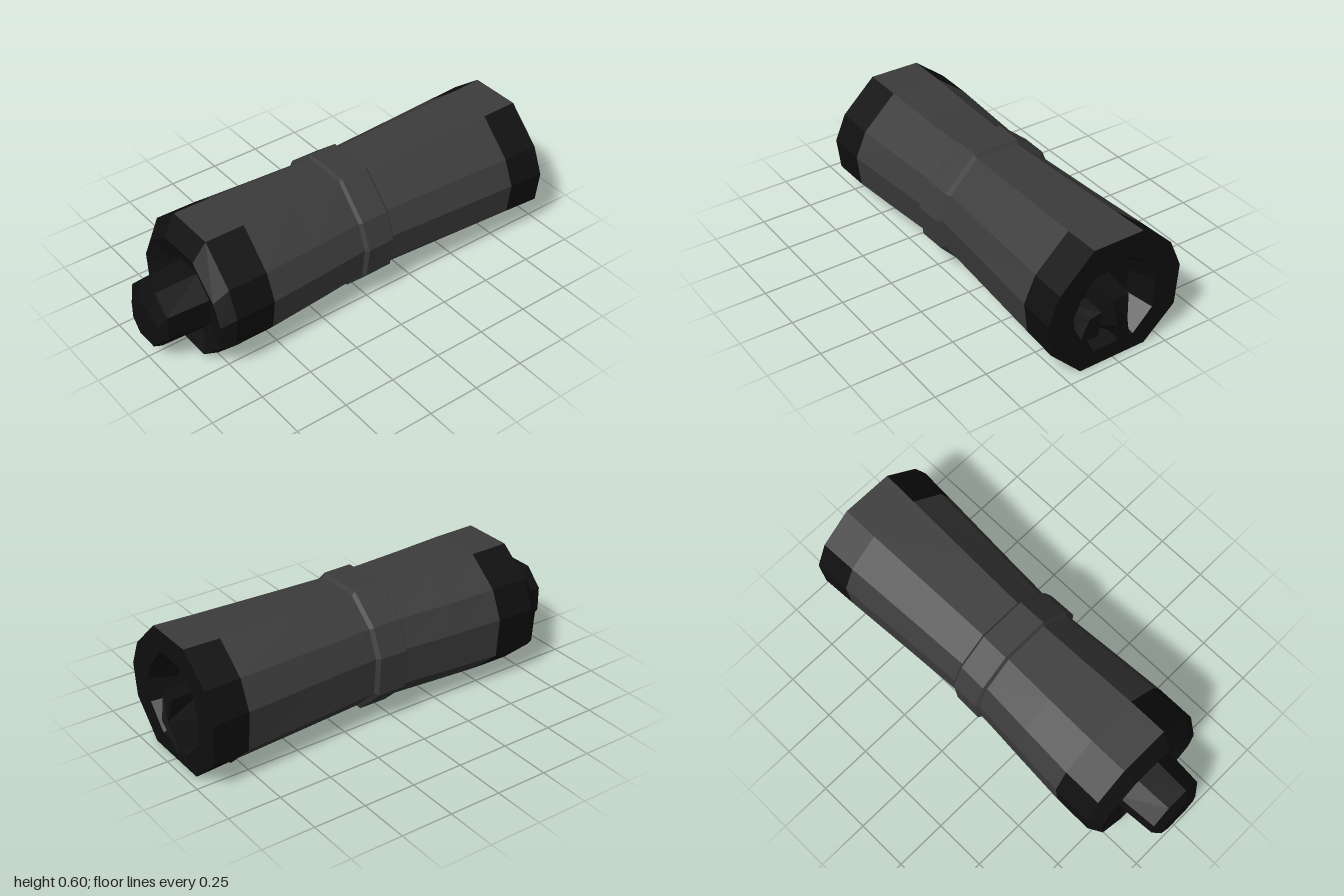
import * as THREE from 'three';

const GREY = new THREE.MeshStandardMaterial({ name: 'charcoal grey', color: 0x3c3c3c });
const BLACK = new THREE.MeshStandardMaterial({ name: 'black', color: 0x0f0f0f });

// Ten-sided barrel outline as [z, y] about its centre, starting at the flat top
const BARREL = [
  [0.125, 0.295], [-0.125, 0.295], [-0.28, 0.175], [-0.34, 0.04], [-0.325, -0.155],
  [-0.17, -0.295], [0.17, -0.295], [0.325, -0.14], [0.345, 0.015], [0.29, 0.14],
];
// Eight-sided outline of the end plug
const PLUG = [
  [0.06, 0.145], [-0.06, 0.145], [-0.15, 0.06], [-0.15, -0.06],
  [-0.08, -0.145], [0.08, -0.145], [0.15, -0.06], [0.15, 0.06],
];

// Flat-shaded skin over rings [x, centreY, scaleY, scaleZ]; pick(ring, side) gives the material slot
function loft(name, outline, rings, materials, pick = () => 0) {
  const corner = ([x, cy, sy, sz], k) => {
    const [z, y] = outline[k % outline.length];
    return [x, cy + y * sy, z * sz];
  };
  const slots = materials.map(() => []);
  for (let r = 0; r < rings.length - 1; r++) {
    for (let k = 0; k < outline.length; k++) {
      const a = corner(rings[r], k), b = corner(rings[r + 1], k);
      const c = corner(rings[r + 1], k + 1), d = corner(rings[r], k + 1);
      slots[pick(r, k)].push(...a, ...b, ...c, ...a, ...c, ...d);
    }
  }
  const geometry = new THREE.BufferGeometry();
  geometry.setAttribute('position', new THREE.Float32BufferAttribute(slots.flat(), 3));
  let start = 0;
  slots.forEach((s, i) => {
    geometry.addGroup(start, s.length / 3, i);
    start += s.length / 3;
  });
  geometry.computeVertexNormals();
  const mesh = new THREE.Mesh(geometry, materials);
  mesh.name = name;
  return mesh;
}

// Prism-like solid whose [z, y] outline is swept along x from one outline to another
function wedge(name, x0, from, x1, to) {
  const p = [];
  const n = from.length;
  const at = (list, x, k) => [list[k % n].length > 2 ? list[k % n][2] : x, list[k % n][1], list[k % n][0]];
  for (let k = 0; k < n; k++) {
    const a = at(from, x0, k), b = at(to, x1, k), c = at(to, x1, k + 1), d = at(from, x0, k + 1);
    p.push(...a, ...b, ...c, ...a, ...c, ...d);
    if (k > 0 && k < n - 1) p.push(...at(to, x1, 0), ...c, ...b);
  }
  // the end face winds with the outline's clockwise order seen from +x
  const geometry = new THREE.BufferGeometry();
  geometry.setAttribute('position', new THREE.Float32BufferAttribute(p, 3));
  geometry.computeVertexNormals();
  const mesh = new THREE.Mesh(geometry, BLACK);
  mesh.name = name;
  return mesh;
}

export function createModel() {
  const model = new THREE.Group();
  model.name = 'canister';

  // Black cap around the plug, with the flat top strip left grey
  const topStrip = (first) => (r, k) => (k === 0 && r >= first ? 1 : 0);
  model.add(loft('plugCap', BARREL, [
    [-0.77, 0.25, 0, 0], [-0.77, 0.25, 0.55, 0.5], [-0.81, 0.256, 0.82, 0.86],
    [-0.75, 0.298, 0.99, 0.975], [-0.56, 0.298, 0.985, 0.97],
  ], [BLACK, GREY], topStrip(3)));

  // Waisted grey barrel
  model.add(loft('barrel', BARREL, [
    [-0.56, 0.298, 0.985, 0.97], [-0.3, 0.3, 0.955, 0.92], [-0.04, 0.304, 0.93, 0.865],
    [0.1, 0.305, 0.92, 0.85], [0.4, 0.302, 0.95, 0.9], [0.78, 0.3, 0.985, 0.97],
  ], [GREY]));

  // Raised band around the waist
  const band = loft('waistBand', BARREL, [
    [-0.055, 0.304, 0.91, 0.86], [-0.04, 0.306, 0.975, 0.92],
    [0.095, 0.306, 0.975, 0.91], [0.11, 0.304, 0.91, 0.85],
  ], [GREY]);
  model.add(band);

  // Black cap with a deep socket
  model.add(loft('socketCap', BARREL, [
    [0.78, 0.3, 0.985, 0.97], [0.955, 0.299, 1.01, 0.995],
    [0.955, 0.285, 0.7, 0.62], [0.83, 0.28, 0.55, 0.5], [0.83, 0.28, 0, 0],
  ], [BLACK, GREY], (r, k) => (k === 0 && r === 0 ? 1 : 0)));

  // Stepped plug
  model.add(loft('plug', PLUG, [
    [-1, 0.2, 0, 0], [-1, 0.195, 0.66, 0.7], [-0.97, 0.242, 0.97, 0.93], [-0.76, 0.245, 1, 1.03],
  ], [BLACK]));

  // Tongue inside the socket, bulging slightly past the rim
  model.add(wedge('socketTongue', 0.82,
    [[0.05, 0.34], [-0.06, 0.34], [-0.1, 0.2], [-0.12, 0.02], [-0.05, 0.02], [0.07, 0.12]], 0.97,
    [[0.035, 0.33, 0.98], [-0.045, 0.33, 0.98], [-0.03, 0.22, 1], [-0.09, 0.02, 0.96],
      [-0.05, 0.02, 0.96], [0.02, 0.2, 1]]));
  model.add(wedge('socketLatch', 0.82,
    [[0.13, 0.25], [0.05, 0.26], [0.05, 0.11], [0.18, 0.12]], 0.93,
    [[0.11, 0.23], [0.05, 0.24], [0.06, 0.12], [0.16, 0.13]]));

  // Thin black spur running from the socket cap along the underside
  const spurShape = new THREE.Shape([[0.79, -0.17], [0.79, 0.05], [0.52, -0.1]].map(([x, z]) => new THREE.Vector2(x, z)));
  const spur = new THREE.Mesh(new THREE.ExtrudeGeometry(spurShape, { depth: 0.008, bevelEnabled: false }), BLACK);
  spur.name = 'undersideSpur';
  spur.rotation.set(Math.PI / 2, 0, 0);
  spur.rotation.y = -0.025;
  spur.position.y = 0.032;
  model.add(spur);

  return model;
}
